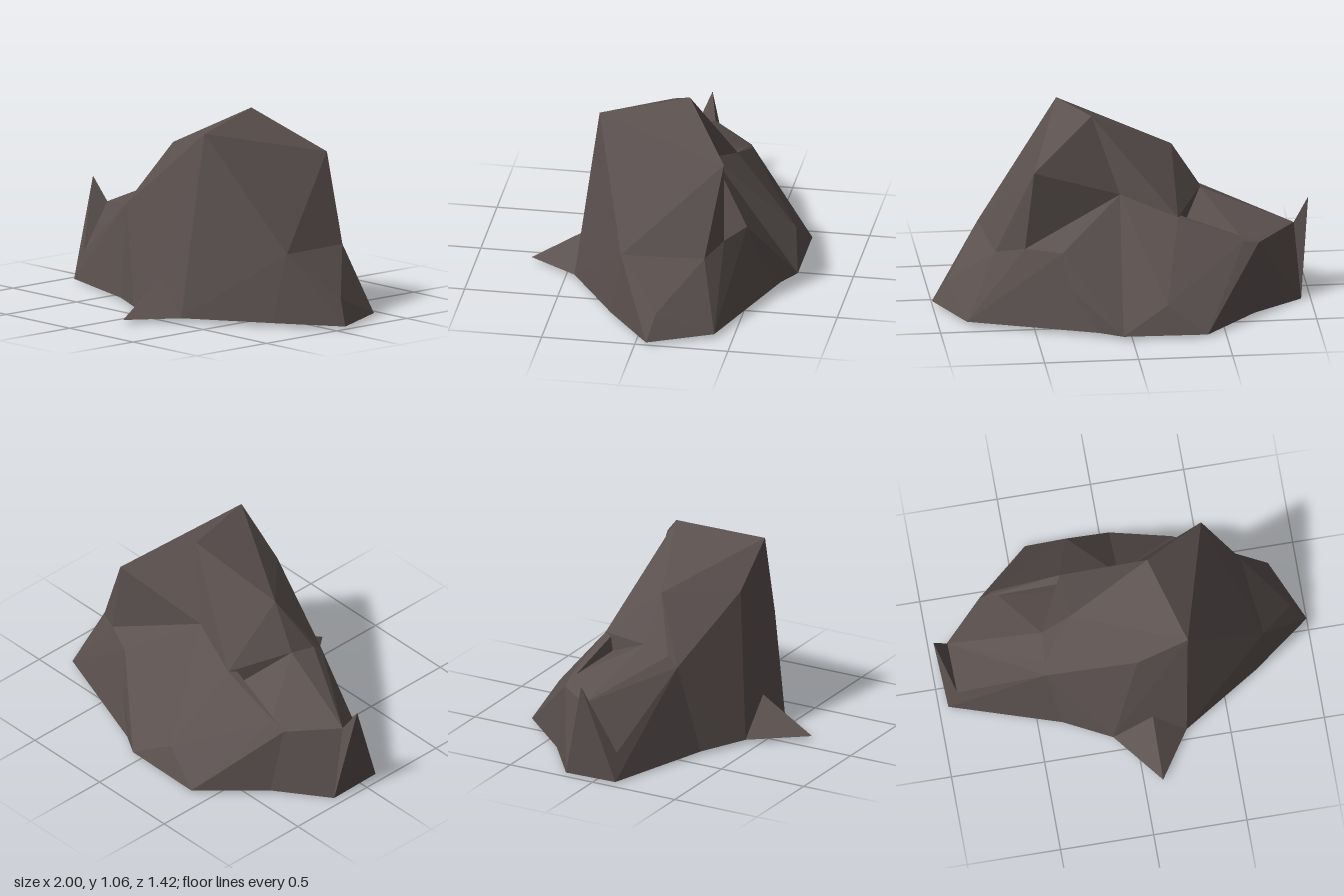
import * as THREE from 'three';
import { ConvexGeometry } from 'three/addons/geometries/ConvexGeometry.js';

export function createModel() {
  const rock = new THREE.Group();
  rock.name = 'rock';
  const stone = new THREE.MeshStandardMaterial({ color: 0x5c5250 });
  stone.name = 'dark stone';

  // Corners shared by neighbouring chunks
  const peak = [0.16, 1.06, -0.15], frontPeak = [0.3, 1, 0.31];
  const backRidge = [0.02, 0.65, -0.25], ridgeEnd = [-0.28, 0.54, -0.33], notch = [-0.31, 0.455, -0.27];
  const ledgeBack = [-0.63, 0.4, -0.35], ledgeCorner = [-0.71, 0.38, -0.33], ledgeTip = [-0.92, 0.4, -0.1];
  const ledgeTop = [-0.43, 0.585, -0.01], ledgeMid = [-0.44, 0.55, 0.14], ledgeFront = [-0.44, 0.5, 0.2];
  const rightFront = [0.74, 0.39, 0.12], rightBack = [0.69, 0.38, -0.32];
  const rightNook = [0.54, 0.42, -0.4], backShoulder = [0.35, 0.42, -0.49], backToe = [0.04, 0.06, -0.66];
  const baseFront = [-0.37, 0.015, 0.3], baseMid = [-0.12, 0.02, 0.43], baseRight = [0.27, 0.02, 0.45];
  const baseSide = [0.69, 0.02, 0.18], baseBack = [0.17, 0.02, -0.64], baseBackEnd = [0.05, 0.02, -0.71];
  const baseBackLeft = [-0.68, 0.01, -0.4], baseLeftFront = [-0.95, 0.005, 0.11], baseLeftBack = [-0.95, 0, -0.19];
  const shardFoot = [-0.9, 0.15, 0.09];

  // Each chunk is the convex hull of its corners
  const chunk = (name, corners) => {
    const mesh = new THREE.Mesh(new ConvexGeometry(corners.map(c => new THREE.Vector3(...c))), stone);
    mesh.name = name;
    rock.add(mesh);
  };

  // Tall central mass, in two halves that meet in a valley under the peak
  chunk('peakLeftHalf', [
    peak, frontPeak, [-0.28, 0.83, 0.01], [0.03, 0.79, 0.315], ledgeTop, ledgeMid, ledgeFront,
    notch, ridgeEnd, backRidge, baseFront, baseMid, baseRight, [-0.3, 0.015, -0.3], [0.3, 0.02, -0.2],
  ]);
  chunk('peakRightHalf', [
    peak, frontPeak, [0.49, 0.84, -0.39], backRidge, rightNook, rightBack, rightFront,
    baseRight, baseSide, [0.02, 0.02, -0.2], [0.5, 0.02, -0.38],
  ]);

  // Sloping buttress on the +x side
  chunk('sideButtress', [
    rightFront, rightBack, rightNook, backShoulder, [0.92, 0.15, -0.1],
    [1, 0.015, -0.06], [0.85, 0.02, -0.4], baseSide, baseBack, [0.1, 0.02, 0],
  ]);

  // Back skirt running down from the ridge
  chunk('backSkirt', [
    backRidge, ridgeEnd, notch, ledgeBack, ledgeCorner, [-0.19, 0.17, -0.66], backToe,
    baseBackEnd, [-0.4, 0.015, -0.71], baseBackLeft, [0, 0.015, -0.2],
  ]);
  chunk('backShoulder', [
    backRidge, backShoulder, rightNook, [0.11, 0.05, -0.61], backToe,
    baseBack, baseBackEnd, [0, 0.02, -0.2], [0.5, 0.02, -0.38],
  ]);

  // Low ledge on the -x side
  chunk('ledge', [
    ledgeBack, ledgeCorner, ledgeTip, notch, ledgeTop, ledgeMid, ledgeFront, shardFoot,
    baseBackLeft, baseLeftBack, baseLeftFront, baseFront, [-0.1, 0.015, -0.2],
  ]);

  // Thin upright shard at the end of the ledge
  chunk('endShard', [[-1, 0.53, -0.07], ledgeTip, shardFoot, baseLeftFront, baseLeftBack]);

  // Small pointed foot at the front
  chunk('frontSpur', [[0.095, 0.21, 0.4], [0.1, 0.02, 0.71], baseMid, baseRight, [0.1, 0.02, 0.3]]);

  return rock;
}
